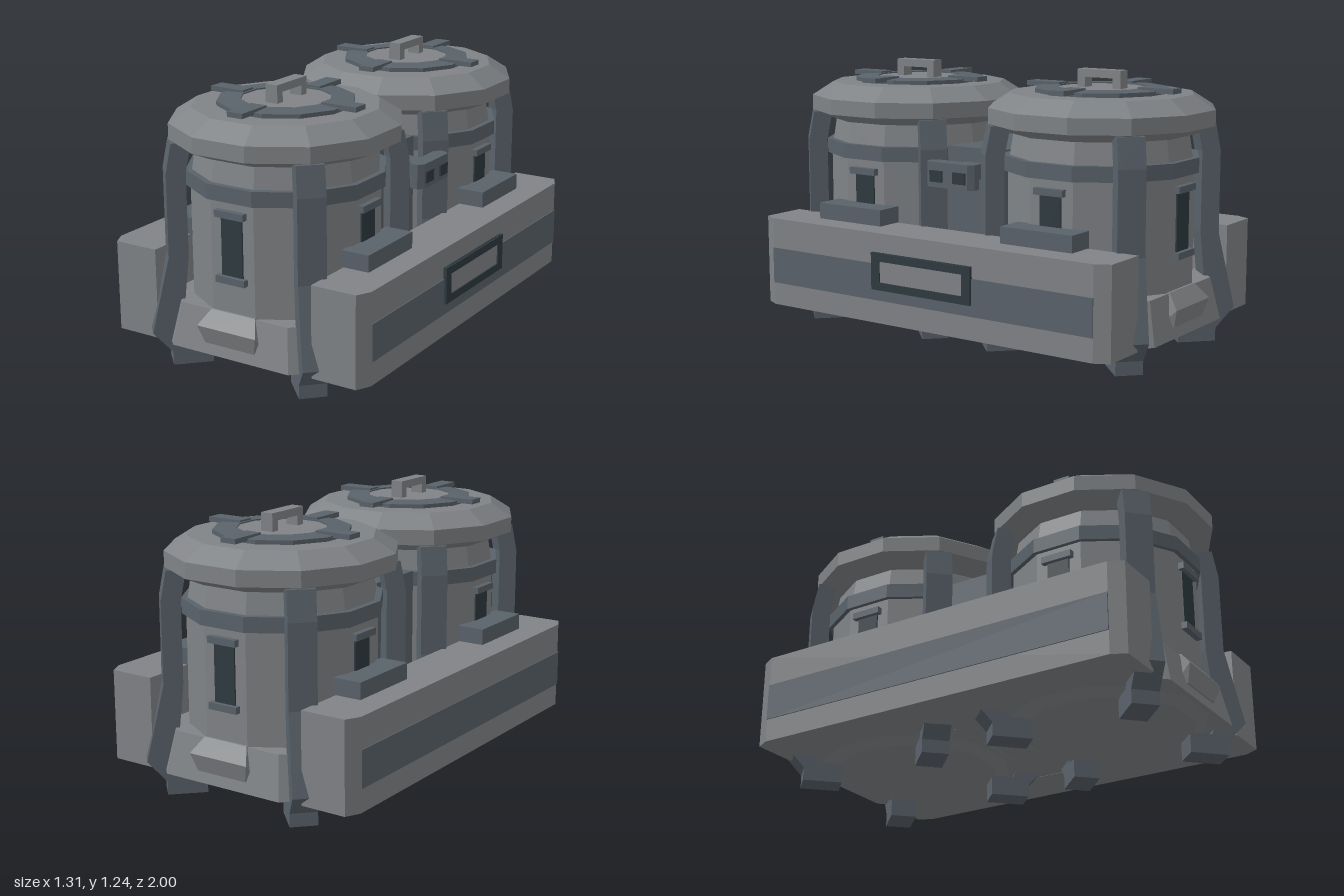
import * as THREE from 'three';

const light = new THREE.MeshStandardMaterial({ color: 0x808386 });
light.name = 'light grey';
const steel = new THREE.MeshStandardMaterial({ color: 0x59626a });
steel.name = 'steel grey';
const dark = new THREE.MeshStandardMaterial({ color: 0x2f3a40 });
dark.name = 'dark glass';

// Adds a flat-shaded mesh
function add(parent, name, geometry, material, x = 0, y = 0, z = 0) {
  const g = geometry.index ? geometry.toNonIndexed() : geometry;
  g.computeVertexNormals();
  const mesh = new THREE.Mesh(g, material);
  mesh.name = name;
  mesh.position.set(x, y, z);
  parent.add(mesh);
  return mesh;
}

// Box given by its limits
function box(parent, name, material, x0, x1, y0, y1, z0, z1) {
  return add(parent, name, new THREE.BoxGeometry(x1 - x0, y1 - y0, z1 - z0), material,
    (x0 + x1) / 2, (y0 + y1) / 2, (z0 + z1) / 2);
}

// Twelve-sided lathe with flat sides on the axes; profile is [apothem, y]
function ring12(profile) {
  const k = 1 / Math.cos(Math.PI / 12);
  return new THREE.LatheGeometry(profile.map(([r, y]) => new THREE.Vector2(r * k, y)), 12, Math.PI / 12);
}

// Upright prism from a plan outline given as [x, -z]
function prism(outline, y0, y1) {
  const g = new THREE.ExtrudeGeometry(new THREE.Shape(outline.map(([x, y]) => new THREE.Vector2(x, y))),
    { depth: y1 - y0, bevelEnabled: false });
  return g.rotateX(-Math.PI / 2).translate(0, y0, 0);
}

function legGeometry() {
  const w = 0.06;
  const side = [[0.35, 0], [0.525, 0], [0.525, 0.06], [0.61, 0.155], [0.53, 0.5], [0.53, 0.87], [0.505, 1],
    [0.42, 1], [0.445, 0.87], [0.445, 0.5], [0.48, 0.155], [0.45, 0.09], [0.35, 0.09]];
  const shape = new THREE.Shape(side.map(([r, y]) => new THREE.Vector2(r, y)));
  return new THREE.ExtrudeGeometry(shape, { depth: 2 * w, bevelEnabled: false }).translate(0, 0, -w);
}

function createTank() {
  const tank = new THREE.Group();

  // Base: chamfered square that narrows upwards, with a round underside
  const a = 0.45, c = 0.3;
  const base = prism([[a, -c], [a, c], [c, a], [-c, a], [-a, c], [-a, -c], [-c, -a], [c, -a]], 0.115, 0.305);
  const p = base.attributes.position;
  for (let i = 0; i < p.count; i++) {
    if (p.getY(i) > 0.2) p.setXYZ(i, p.getX(i) * 0.91, p.getY(i), p.getZ(i) * 0.91);
  }
  add(tank, 'tankBase', base, light);
  add(tank, 'tankUnderside', ring12([[0, 0.085], [0.37, 0.085], [0.43, 0.118]]), light);

  // Body, band and lid
  add(tank, 'tankBody', ring12([[0.405, 0.3], [0.405, 0.82], [0.38, 0.98]]), light);
  add(tank, 'tankBand', ring12([[0.4, 0.8], [0.425, 0.8], [0.425, 0.867], [0.38, 0.867]]), steel);
  add(tank, 'lid', ring12([[0, 0.965], [0.4, 0.965], [0.49, 1.005], [0.49, 1.075], [0.395, 1.137], [0, 1.145]]), light);
  add(tank, 'lidRing', ring12([[0.29, 1.13], [0.29, 1.157], [0.19, 1.162], [0.19, 1.13]]), steel);
  add(tank, 'lidCentre', ring12([[0.19, 1.13], [0.19, 1.156], [0, 1.156]]), light);

  // Lid spokes and diagonal legs
  for (let i = 0; i < 4; i++) {
    const spoke = new THREE.Group();
    spoke.name = 'lidSpoke';
    spoke.rotation.y = i * Math.PI / 2;
    box(spoke, 'spokeBar', steel, 0.2, 0.372, 1.148, 1.17, -0.038, 0.038);
    tank.add(spoke);
    add(tank, 'leg', legGeometry(), steel).rotation.y = (i + 0.5) * Math.PI / 2;
  }

  // Lid handle
  box(tank, 'handleBar', light, -0.03, 0.03, 1.2, 1.235, -0.11, 0.11);
  for (const s of [-1, 1]) {
    add(tank, 'handlePost', new THREE.BoxGeometry(0.06, 0.06, 0.04), light, 0, 1.175, s * 0.09);
  }

  // Framed windows on the outer and the two lateral faces
  for (const turn of [-1, 0, 1]) {
    const frame = new THREE.Group();
    frame.name = 'window';
    frame.rotation.y = turn * Math.PI / 2;
    box(frame, 'windowGlass', dark, -0.053, 0.053, 0.47, 0.735, 0.404, 0.412);
    box(frame, 'windowTopBracket', steel, -0.073, 0.073, 0.732, 0.762, 0.39, 0.432);
    box(frame, 'windowBottomBracket', steel, -0.073, 0.073, 0.445, 0.475, 0.39, 0.432);
    tank.add(frame);
  }

  // Tapered lip on the base front
  const lip = new THREE.Shape([[0.38, 0.165], [0.447, 0.165], [0.47, 0.245], [0.415, 0.31], [0.38, 0.31]]
    .map(([z, y]) => new THREE.Vector2(z, y)));
  const lipGeometry = new THREE.ExtrudeGeometry(lip, { depth: 0.3, bevelEnabled: false })
    .translate(0, 0, -0.15).rotateY(-Math.PI / 2);
  const q = lipGeometry.attributes.position;
  for (let i = 0; i < q.count; i++) {
    const y = q.getY(i);
    if (y < 0.2) q.setX(i, q.getX(i) * 0.84);
    if (y > 0.3) q.setX(i, q.getX(i) * 0.75);
  }
  add(tank, 'baseLip', lipGeometry, light);
  return tank;
}

function createSide(s) {
  const side = new THREE.Group();
  side.name = s > 0 ? 'leftSide' : 'rightSide';

  // Long block with chamfered outer corners
  const outline = [[0.4, -0.935], [0.612, -0.935], [0.645, -0.87], [0.645, 0.87], [0.612, 0.935], [0.4, 0.935]];
  const plan = s > 0 ? outline : outline.map(([x, y]) => [-x, y]).reverse();
  add(side, 'sideBlock', prism(plan, 0.115, 0.523), light);

  const place = (name, m, x0, x1, y0, y1, z0, z1) =>
    box(side, name, m, Math.min(s * x0, s * x1), Math.max(s * x0, s * x1), y0, y1, z0, z1);
  place('sideStripe', steel, 0.643, 0.65, 0.22, 0.385, -0.87, 0.87);
  for (const z of [-0.51, 0.51]) {
    place('sideStep', steel, 0.39, 0.522, 0.515, 0.597, z - 0.18, z + 0.18);
  }

  // Display plate on the left side only
  if (s > 0) {
    place('displayBack', dark, 0.643, 0.652, 0.27, 0.437, -0.27, 0.27);
    place('displayScreen', light, 0.65, 0.655, 0.3, 0.4, -0.225, 0.225);
    for (const y of [0.27, 0.4]) place('displayFrame', dark, 0.65, 0.661, y, y + 0.035, -0.27, 0.27);
    for (const z of [-0.27, 0.225]) place('displayFrame', dark, 0.65, 0.661, 0.27, 0.437, z, z + 0.045);
  }
  return side;
}

export function createModel() {
  const model = new THREE.Group();
  model.name = 'twinTankUnit';
  const body = new THREE.Group();
  body.name = 'unit';
  body.position.x = -0.007;
  model.add(body);

  // Two tanks back to back
  for (const s of [1, -1]) {
    const tank = createTank();
    tank.name = s > 0 ? 'frontTank' : 'backTank';
    tank.position.z = s * 0.51;
    if (s < 0) tank.rotation.y = Math.PI;
    body.add(tank);
    body.add(createSide(s));
  }

  // Floor and column joining the tanks
  box(body, 'floor', light, -0.42, 0.42, 0.116, 0.3, -0.5, 0.5);
  box(body, 'centreColumn', steel, -0.25, 0.25, 0.28, 0.875, -0.15, 0.15);

  // Control box with two small displays
  const k = 0.13, h = 0.105;
  add(body, 'controlBox', prism([[0.38, -h], [0.4, -k], [0.43, -k], [0.452, -h],
    [0.452, h], [0.43, k], [0.4, k], [0.38, h]], 0.718, 0.83), steel);
  box(body, 'controlBracket', steel, 0.24, 0.39, 0.74, 0.81, -0.05, 0.05);
  for (const z of [-0.063, 0.063]) {
    box(body, 'controlDisplay', dark, 0.45, 0.459, 0.742, 0.793, z - 0.034, z + 0.034);
  }
  return model;
}
